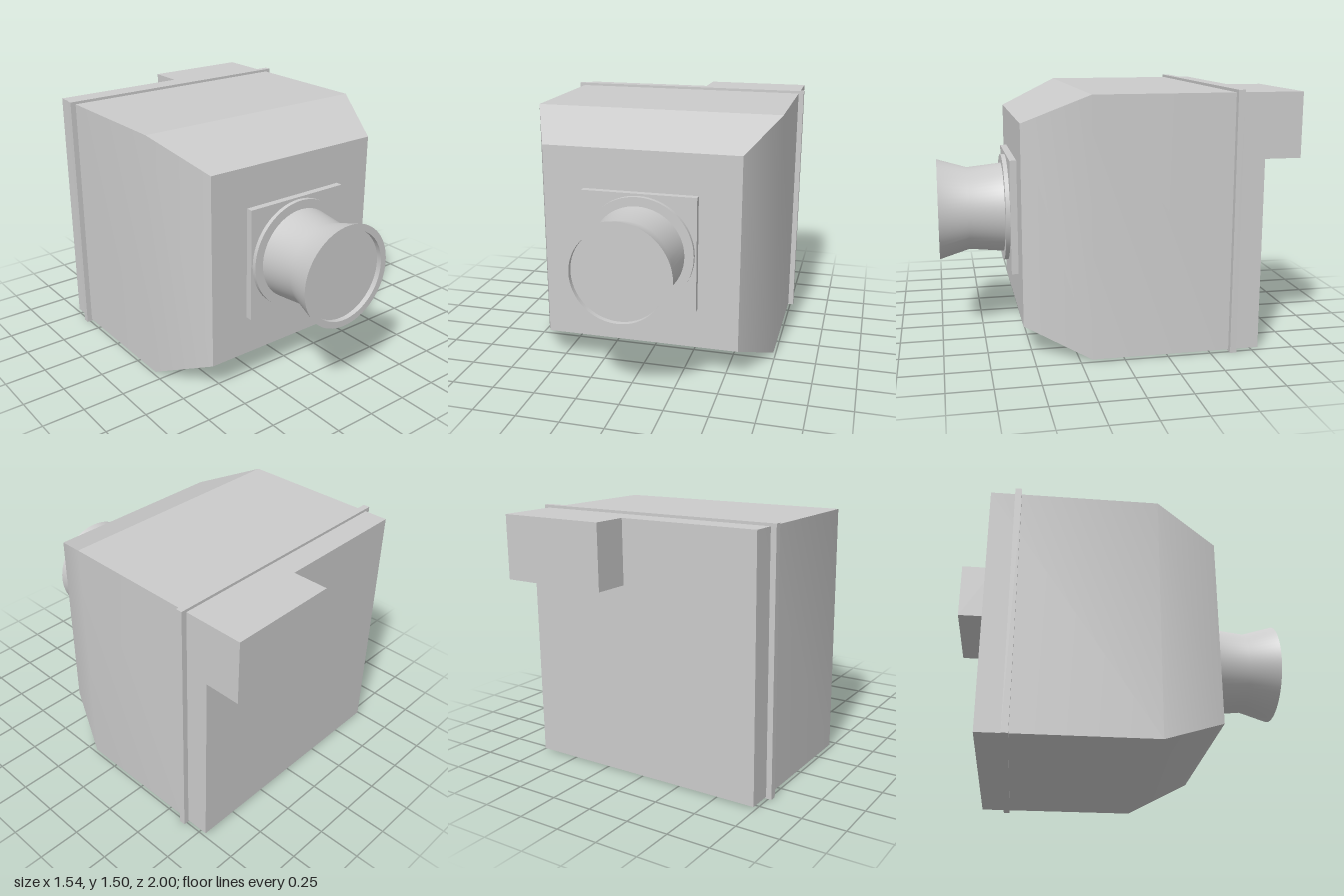
import * as THREE from 'three';

const MID = 0.747; // height of the lens axis and body centre
const material = new THREE.MeshStandardMaterial({ color: 0xcccccc });

function add(parent, name, geometry, x = 0, y = 0, z = 0) {
  const mesh = new THREE.Mesh(geometry, material);
  mesh.name = name;
  mesh.position.set(x, y, z);
  parent.add(mesh);
  return mesh;
}

// Box given by its limits on each axis
function addBox(parent, name, [x0, x1], [y0, y1], [z0, z1]) {
  const geometry = new THREE.BoxGeometry(x1 - x0, y1 - y0, z1 - z0);
  return add(parent, name, geometry, (x0 + x1) / 2, (y0 + y1) / 2, (z0 + z1) / 2);
}

// One long side of the housing: a strip through the [half size, z] sections
function housingSide(sections, sharp) {
  const positions = [];
  const index = [];
  sections.forEach(([h, z], i) => {
    positions.push(-h, h, z, h, h, z);
    if (i > 0) {
      const a = 2 * i - 2;
      index.push(a, a + 1, a + 3, a, a + 3, a + 2);
    }
  });
  let geometry = new THREE.BufferGeometry();
  geometry.setAttribute('position', new THREE.Float32BufferAttribute(positions, 3));
  geometry.setIndex(index);
  if (sharp) geometry = geometry.toNonIndexed();
  geometry.computeVertexNormals();
  return geometry;
}

// Surface of revolution around z, from [radius, z] points
function turned(points) {
  const profile = points.map(([r, z]) => new THREE.Vector2(r, z));
  return new THREE.LatheGeometry(profile, 64).rotateX(Math.PI / 2);
}

export function createModel() {
  const model = new THREE.Group();
  model.name = 'boxCamera';

  // Housing: square body tapering towards the front; only the top crease is sharp
  const housing = new THREE.Group();
  housing.name = 'housing';
  housing.position.y = MID;
  model.add(housing);
  const sections = [[0.575, 0.55], [0.737, 0.185], [0.737, -0.79]];
  ['housingTop', 'housingRight', 'housingBottom', 'housingLeft'].forEach((name, k) => {
    add(housing, name, housingSide(sections, k === 0)).rotation.z = (k * Math.PI) / 2;
  });
  add(housing, 'housingFront', new THREE.PlaneGeometry(1.15, 1.15), 0, 0, 0.55);
  add(housing, 'housingBack', new THREE.PlaneGeometry(1.474, 1.474).rotateY(Math.PI), 0, 0, -0.79);

  // Band around the body and block on the back
  addBox(model, 'seamBand', [-0.77, 0.77], [0, 1.5], [-0.65, -0.612]);
  addBox(model, 'rearBlock', [0.09, 0.737], [1.115, 1.484], [-1, -0.78]);

  // Lens mount
  addBox(model, 'mountPlate', [-0.335, 0.335], [0.41, 1.084], [0.54, 0.59]);
  const collar = new THREE.CylinderGeometry(0.325, 0.325, 0.035, 64).rotateX(Math.PI / 2);
  add(model, 'mountCollar', collar, 0, MID, 0.5975);

  // Lens: waisted barrel, flat rim, shallow recess and glass
  const lens = new THREE.Group();
  lens.name = 'lens';
  lens.position.y = MID;
  model.add(lens);
  add(lens, 'lensBarrel', turned([[0.272, 0.61], [0.25, 0.82], [0.304, 1]]));
  add(lens, 'lensRim', turned([[0.304, 1], [0.265, 1]]));
  add(lens, 'lensRecess', turned([[0.265, 1], [0.265, 0.97]]));
  add(lens, 'lensGlass', new THREE.CircleGeometry(0.265, 64), 0, 0, 0.97);

  return model;
}
